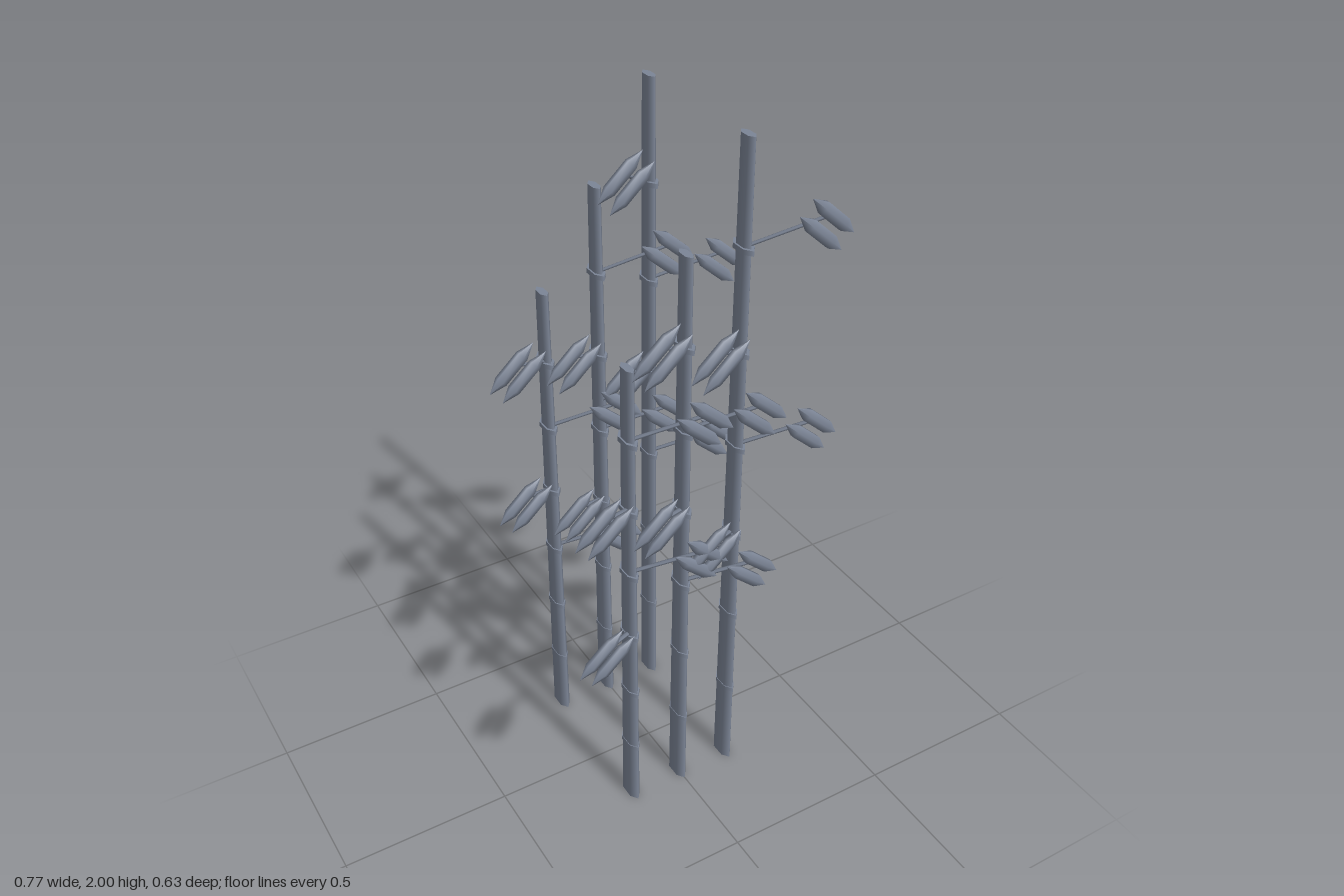
import * as THREE from 'three';

const material = new THREE.MeshStandardMaterial({ color: 0x7c8596 });

const SQUASH = 0.43; // stalks are narrow in x, deep in z
const NODES = 7; // equal sections per stalk

function addMesh(parent, name, geometry) {
  const mesh = new THREE.Mesh(geometry, material);
  mesh.name = name;
  parent.add(mesh);
  return mesh;
}

// Shared six-sided leaf along y: straight middle, pointed ends, flattened in z
const leafGeometry = new THREE.LatheGeometry(
  [[0, -0.0875], [0.02, -0.042], [0.02, 0.042], [0, 0.0875]].map(([r, y]) => new THREE.Vector2(r, y)),
  6
).scale(1, 1, 0.62);

const ringGeometry = new THREE.CylinderGeometry(0.0445, 0.0445, 0.014, 6).scale(SQUASH, 1, 1);

// Twig reaching sideways and forward, crossed by a pair of leaves
function createBranch(side) {
  const branch = new THREE.Group();
  branch.name = side > 0 ? 'leftBranch' : 'rightBranch';

  // Flattened twig, wider than it is high
  const tip = new THREE.Vector3(0.157 * side, 0.1, 0.13);
  const twig = addMesh(branch, 'twig',
    new THREE.CylinderGeometry(0.008, 0.008, tip.length(), 6).rotateX(Math.PI / 2).scale(1, 0.55, 1));
  twig.position.copy(tip).multiplyScalar(0.5);
  twig.lookAt(tip);

  for (const [x, y] of [[0.126, 0.058], [0.16, 0.095]]) {
    const leaf = addMesh(branch, 'leaf', leafGeometry);
    leaf.position.set(x * side, y, 0.131);
    leaf.rotation.z = 0.84 * side;
  }
  return branch;
}

// Tapered stalk with a ring at each node and alternating branches on the upper ones
function createStalk(height, parity) {
  const stalk = new THREE.Group();
  stalk.name = 'bambooStalk';
  const cane = addMesh(stalk, 'cane',
    new THREE.CylinderGeometry(0.03, 0.0425, height, 6).scale(SQUASH, 1, 1));
  cane.position.y = height / 2;

  for (let node = 1; node < NODES; node++) {
    const y = (height * node) / NODES;
    addMesh(stalk, 'ring', ringGeometry).position.y = y;
    if (node >= 3) {
      const branch = createBranch((node + parity) % 2 === 0 ? 1 : -1);
      branch.position.y = y;
      stalk.add(branch);
    }
  }
  return stalk;
}

export function createModel() {
  const model = new THREE.Group();
  model.name = 'bambooGrove';
  // Two rows of three stalks, rising towards +x
  [0.17, -0.271].forEach((z, row) => {
    [1.48, 1.74, 2.0].forEach((height, column) => {
      const stalk = createStalk(height, row + column);
      stalk.position.set((column - 1) * 0.162, 0, z);
      model.add(stalk);
    });
  });
  return model;
}
